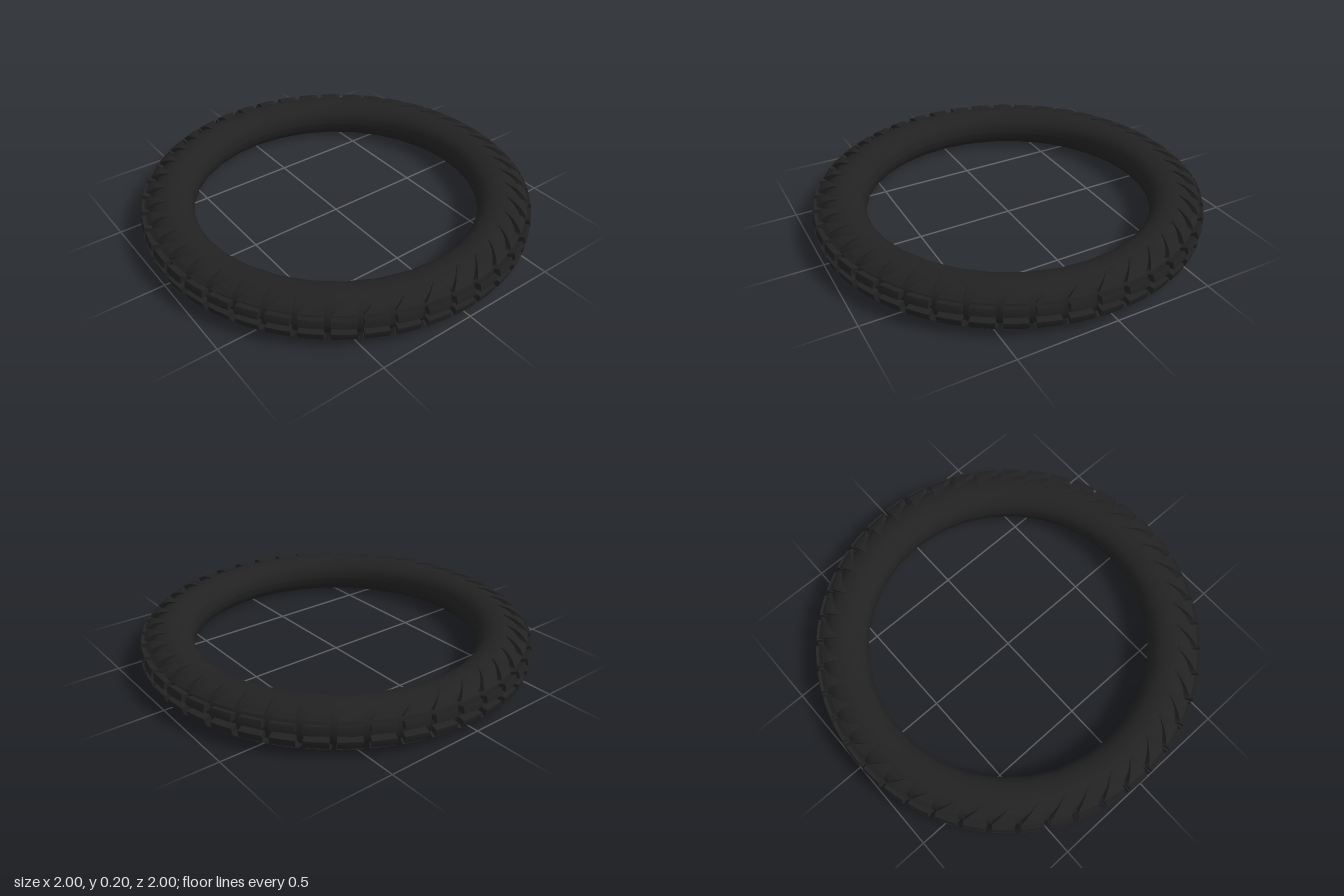
import * as THREE from 'three';
import { mergeGeometries } from 'three/addons/utils/BufferGeometryUtils.js';

const COUNT = 44;                      // tread blocks around the tyre
const PITCH = (Math.PI * 2) / COUNT;
const PHASE = -0.035;
const MID_Y = 0.105, MID_R = 0.85;

// Point of the rounded cross-section: phi = 0 is the outer equator, PI/2 the top
function section(phi, lift = 0) {
  const s = Math.sin(phi), c = Math.cos(phi);
  const y = 0.1 * Math.sign(s) * Math.pow(Math.abs(s), 0.85);
  return new THREE.Vector2(MID_R + (0.115 + lift) * c, MID_Y + y + lift * s);
}

// Bends a box onto the tyre: x runs around, y outward, z across the tread
function block(theta, side, { from, to, width, endWidth, shift, lift, endLift }) {
  const geo = new THREE.BoxGeometry(1, 1, 1, 3, 1, 4);
  const pos = geo.attributes.position;
  for (let i = 0; i < pos.count; i++) {
    const across = pos.getZ(i) * -side + 0.5;
    const w = THREE.MathUtils.lerp(width, endWidth, across);
    const h = pos.getY(i) > 0 ? THREE.MathUtils.lerp(lift, endLift, across) : -0.012;
    const phi = side * THREE.MathUtils.lerp(from, to, across);
    const th = theta + pos.getX(i) * w * PITCH + shift * across;
    const p = section(phi, h);
    pos.setXYZ(i, p.x * Math.sin(th), p.y, p.x * Math.cos(th));
  }
  const flat = geo.toNonIndexed();
  flat.computeVertexNormals();
  return flat;
}

// One mirrored pair of tread rows
function treadRows(name, spec, material) {
  const parts = [];
  for (let i = 0; i < COUNT; i++) {
    for (const side of [1, -1]) parts.push(block(PHASE + i * PITCH, side, spec));
  }
  const mesh = new THREE.Mesh(mergeGeometries(parts), material);
  mesh.name = name;
  return mesh;
}

export function createModel() {
  const tyre = new THREE.Group();
  tyre.name = 'tyre';
  const rubber = new THREE.MeshStandardMaterial({ color: 0x222222 });
  rubber.name = 'black rubber';

  // Smooth ring body
  const profile = [];
  for (let i = 0; i <= 28; i++) profile.push(section(-Math.PI + (i / 28) * Math.PI * 2));
  const carcass = new THREE.Mesh(new THREE.LatheGeometry(profile, 32), rubber);
  carcass.name = 'carcass';
  tyre.add(carcass);

  // Twin rows of blocks along the centre
  tyre.add(treadRows('centreBlocks', {
    from: 0.09, to: 0.35, width: 0.78, endWidth: 0.78, shift: 0, lift: 0.035, endLift: 0.035,
  }, rubber));

  // Shoulder lugs that taper and sweep onto the sidewalls
  tyre.add(treadRows('shoulderLugs', {
    from: 0.52, to: 1.4, width: 0.8, endWidth: 0.12, shift: 0.06, lift: 0.027, endLift: 0.003,
  }, rubber));

  return tyre;
}
